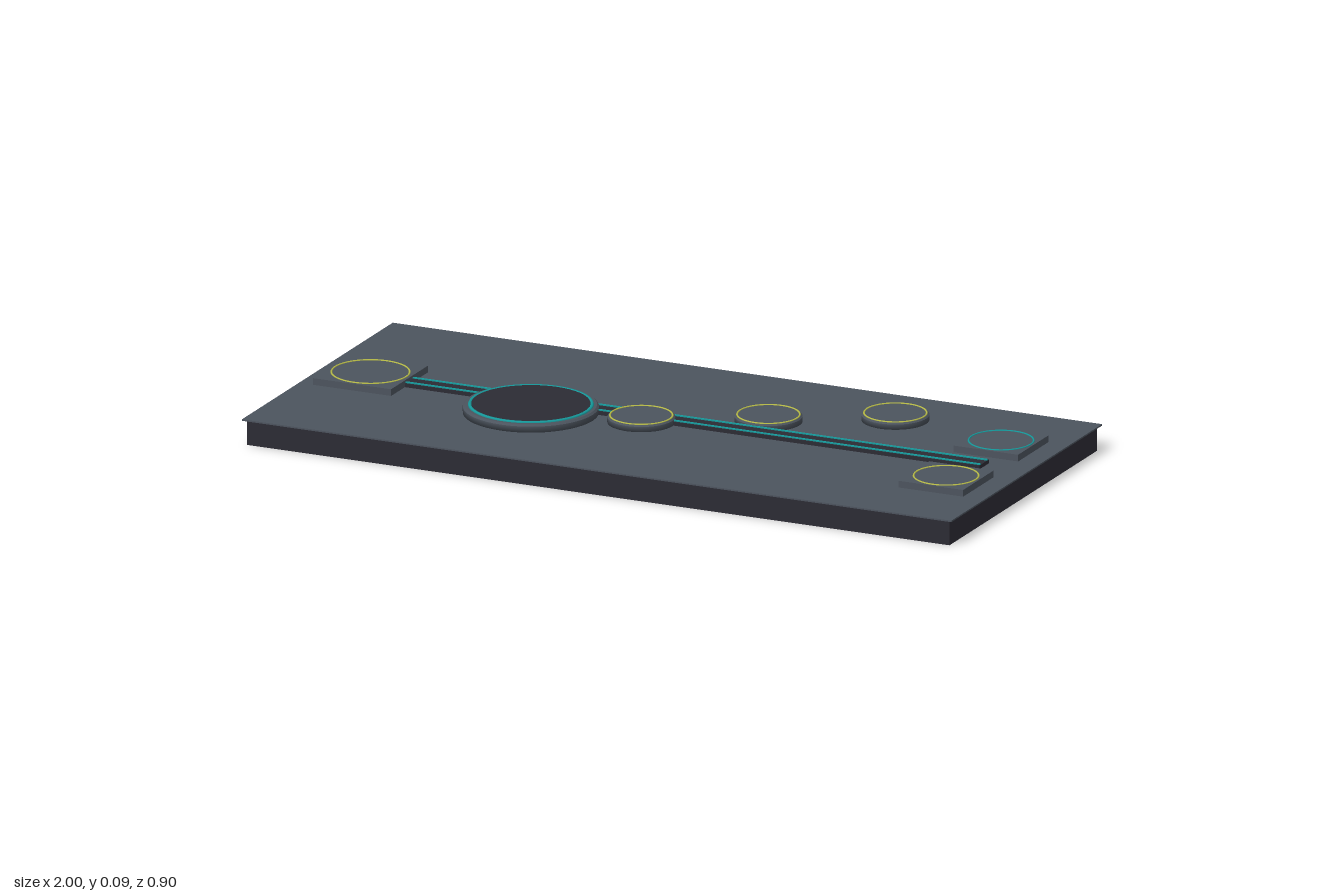
import * as THREE from 'three';

function material(name, color) {
  const m = new THREE.MeshStandardMaterial({ color });
  m.name = name;
  return m;
}

export function createModel() {
  const slate = material('slate', 0x4c545e);
  const dark = material('charcoal', 0x2c2b34);
  const teal = material('teal', 0x169a9c);
  const yellow = material('yellow', 0xb9bd48);
  const model = new THREE.Group();
  model.name = 'boardTable';

  function add(parent, name, geometry, mat, x, y, z) {
    const mesh = new THREE.Mesh(geometry, mat);
    mesh.name = name;
    mesh.position.set(x, y, z);
    parent.add(mesh);
    return mesh;
  }
  function group(name, x, z) {
    const g = new THREE.Group();
    g.name = name;
    g.position.set(x, 0, z);
    model.add(g);
    return g;
  }
  function ring(parent, name, radius, tube, mat, y) {
    const geometry = new THREE.TorusGeometry(radius, tube, 6, 64).rotateX(Math.PI / 2);
    add(parent, name, geometry, mat, 0, y, 0);
  }
  // Disc with a small bevel on its top edge
  function disc(radius, height, bevel) {
    const profile = [[0, 0], [radius, 0], [radius, height - bevel], [radius, height - bevel],
      [radius - bevel, height], [radius - bevel, height], [0, height]];
    return new THREE.LatheGeometry(profile.map(([x, y]) => new THREE.Vector2(x, y)), 48);
  }

  // Base and overhanging top plate
  add(model, 'base', new THREE.BoxGeometry(1.98, 0.066, 0.88), dark, 0, 0.033, 0);
  add(model, 'topPlate', new THREE.BoxGeometry(2, 0.004, 0.9), slate, 0, 0.068, 0);

  // Track with two glowing rails
  add(model, 'track', new THREE.BoxGeometry(1.69, 0.01, 0.056), dark, 0.035, 0.075, 0);
  for (const side of [-1, 1]) {
    add(model, 'trackRail', new THREE.BoxGeometry(1.69, 0.004, 0.006), teal, 0.035, 0.081, side * 0.021);
  }

  // Square pads with thin rings
  for (const [name, x, z, size, radius, mat] of [
    ['startPad', -0.85, 0, 0.22, 0.1, yellow],
    ['backEndPad', 0.85, -0.165, 0.182, 0.083, teal],
    ['frontEndPad', 0.85, 0.163, 0.182, 0.083, yellow],
  ]) {
    const pad = group(name, x, z);
    add(pad, 'padBlock', new THREE.BoxGeometry(size, 0.018, size), slate, 0, 0.079, 0);
    ring(pad, 'padRing', radius, 0.0025, mat, 0.088);
  }

  // Large hub with a dark centre
  const hub = group('hub', -0.36, 0.08);
  add(hub, 'hubDisc', disc(0.174, 0.021, 0.005), slate, 0, 0.07, 0);
  add(hub, 'hubCentre', new THREE.CylinderGeometry(0.152, 0.152, 0.006, 48), dark, 0, 0.091, 0);
  ring(hub, 'hubRing', 0.156, 0.005, teal, 0.0905);

  // Small round stations
  for (const [x, z] of [[-0.07, 0.035], [0.22, -0.11], [0.507, -0.26]]) {
    const station = group('station', x, z);
    add(station, 'stationDisc', disc(0.087, 0.018, 0.004), slate, 0, 0.07, 0);
    ring(station, 'stationRing', 0.08, 0.0025, yellow, 0.088);
  }

  return model;
}
